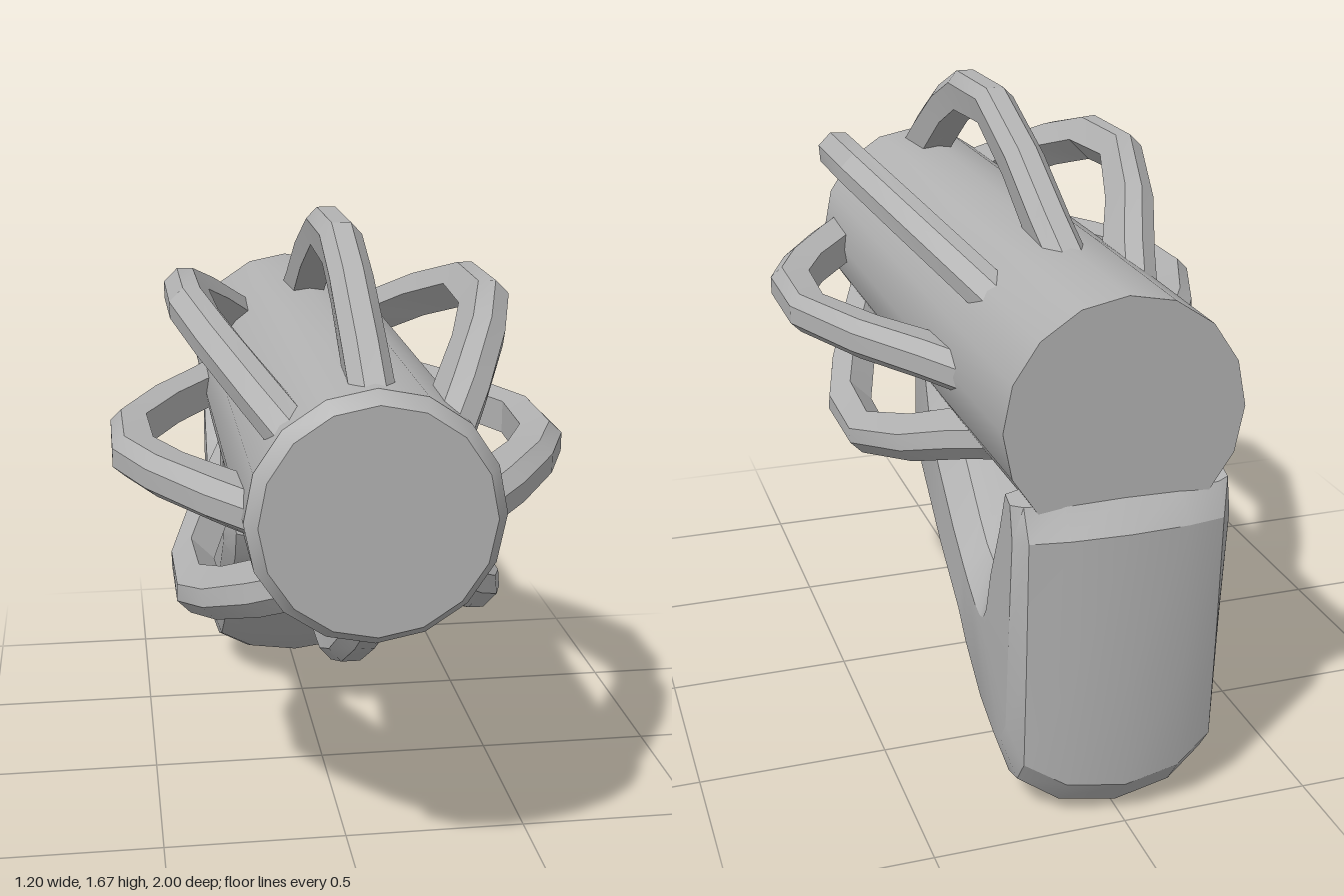
import * as THREE from 'three';
import { toCreasedNormals } from 'three/addons/utils/BufferGeometryUtils.js';

const AXIS_Y = 1.07;

// Skin a closed tube over equal-length cross-sections and cap both ends.
function loft(sections, crease) {
  const n = sections[0].length;
  const pos = sections.flat(2);
  const index = [];
  for (let i = 0; i < sections.length - 1; i++) {
    for (let j = 0; j < n; j++) {
      const a = i * n + j, b = i * n + (j + 1) % n;
      index.push(a, b, b + n, a, b + n, a + n);
    }
  }
  const last = (sections.length - 1) * n;
  for (let j = 1; j < n - 1; j++) {
    index.push(0, j + 1, j, last, last + j, last + j + 1);
  }
  const g = new THREE.BufferGeometry();
  g.setAttribute('position', new THREE.Float32BufferAttribute(pos, 3));
  g.setIndex(index);
  return toCreasedNormals(g, crease);
}

// Each row: outer z, outer y, inner z, inner y. Shape: [x, depth from outer to inner].
function sweep(rows, shape, crease) {
  return loft(rows.map(([oz, oy, iz, iy]) => shape.map(([x, t]) => [
    x, oy + (iy - oy) * t, oz + (iz - oz) * t,
  ])), crease);
}

export function createModel() {
  const model = new THREE.Group();
  const grey = new THREE.MeshStandardMaterial({ color: 0xb2b2b2 });
  grey.name = 'grey';
  const add = (name, geometry) => {
    const mesh = new THREE.Mesh(geometry, grey);
    mesh.name = name;
    model.add(mesh);
    return mesh;
  };

  // Main barrel with a chamfered front end
  const profile = [[0, -0.94], [0.305, -0.94], [0.31, -0.4], [0.31, 0.96], [0.28, 1], [0, 1]]
    .map(([r, z]) => new THREE.Vector2(r, z));
  const barrel = new THREE.LatheGeometry(profile, 16);
  barrel.rotateX(Math.PI / 2);
  add('barrel', toCreasedNormals(barrel, 0.5)).position.y = AXIS_Y;

  // Eight bowed ribs around the barrel
  const ribRows = [
    [0.96, 0.28, 0.84, 0.22], [0.80, 0.39, 0.70, 0.29], [0.57, 0.52, 0.50, 0.42],
    [0.37, 0.598, 0.34, 0.49], [0.08, 0.598, 0.10, 0.50], [-0.20, 0.49, -0.13, 0.40],
    [-0.42, 0.37, -0.33, 0.28], [-0.58, 0.29, -0.46, 0.22],
  ];
  const ribShape = [[0.025, 0], [0.055, 0.3], [0.045, 1], [-0.045, 1], [-0.055, 0.3], [-0.025, 0]];
  const rib = sweep(ribRows, ribShape, 0.35);
  for (let i = 0; i < 8; i++) {
    const mesh = add('rib' + (i + 1), rib);
    mesh.position.y = AXIS_Y;
    mesh.rotation.z = i * Math.PI / 4;
  }

  // Bracket: diagonal arm below the barrel turning up into the rear leg
  const bracketRows = [
    [0.00, 0.95, -0.22, 0.95], [0.05, 0.70, -0.30, 0.85], [0.00, 0.61, -0.38, 0.77],
    [-0.22, 0.43, -0.50, 0.66], [-0.44, 0.28, -0.55, 0.62], [-0.52, 0.19, -0.58, 0.612],
    [-0.70, 0.06, -0.60, 0.61], [-0.85, 0.00, -0.61, 0.615], [-0.93, 0.02, -0.62, 0.62],
    [-0.99, 0.10, -0.635, 0.64], [-1.00, 0.40, -0.68, 0.69], [-1.00, 0.80, -0.78, 0.77],
    [-0.94, 0.87, -0.86, 0.90],
  ];
  const half = [[0.15, 0.04], [0.25, 0.14], [0.28, 0.3], [0.28, 0.75], [0.22, 0.93]];
  const bracketShape = [
    [0, 0], ...half.map(([x, t]) => [-x, t]), [0, 1], ...half.slice().reverse(),
  ];
  add('bracket', sweep(bracketRows, bracketShape, 0.45));

  return model;
}
